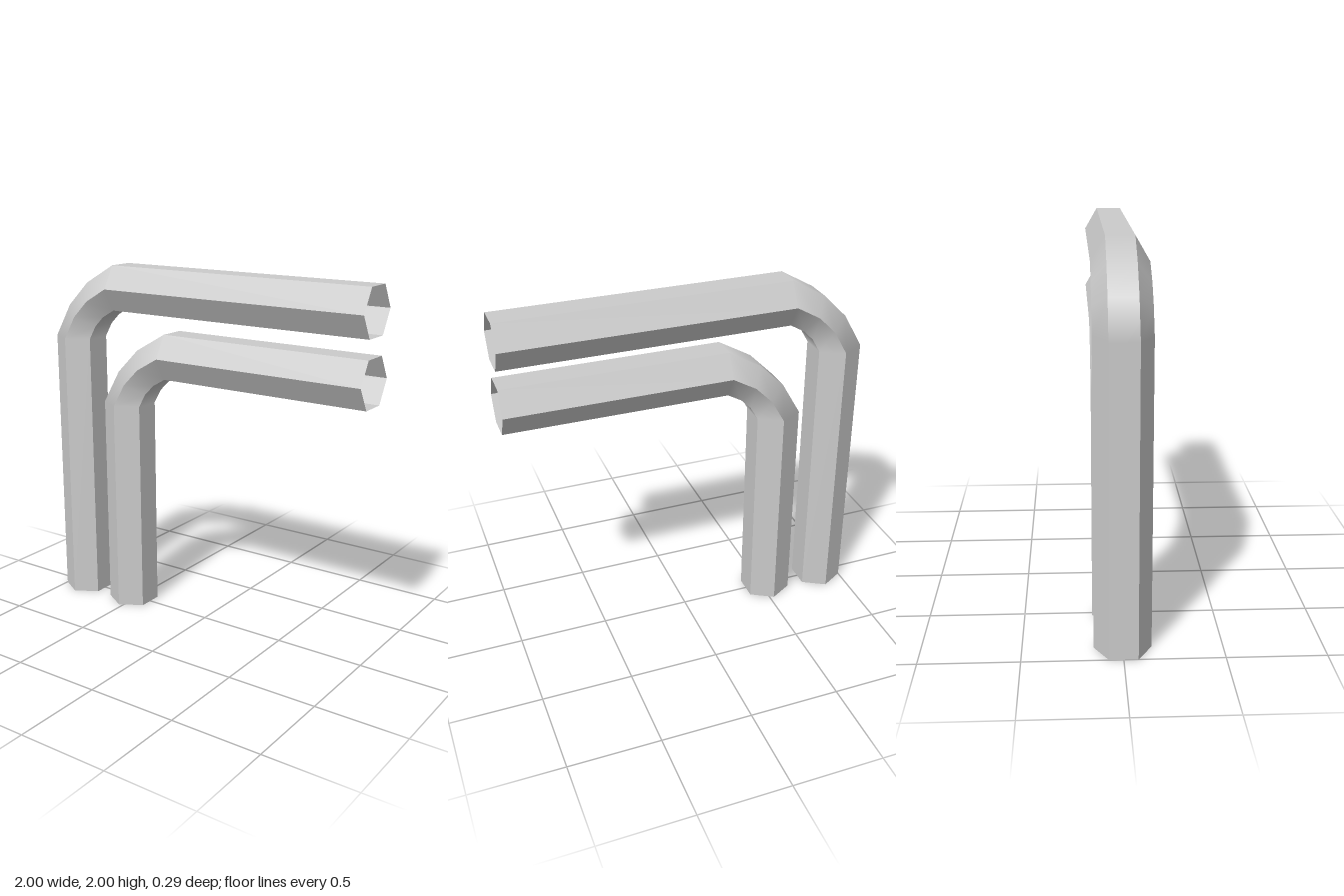
import * as THREE from 'three';

const HEX_RADIUS = 0.125 / Math.cos(Math.PI / 6);
const BEND_RADIUS = 0.305;
const SIDES = 6;
const BEND_STEPS = 3;

// Open hexagonal tube: a vertical leg, a quarter bend around (cx, cy), a horizontal arm.
function bentHexTube(cx, cy, armEnd) {
  const rings = [{ theta: 0, scale: 1, x: cx, y: 0 }];
  for (let i = 0; i <= BEND_STEPS; i++) {
    const inner = i > 0 && i < BEND_STEPS;
    rings.push({ theta: (i / BEND_STEPS) * Math.PI / 2, scale: inner ? 0.866 : 1, x: cx, y: cy });
  }
  rings.push({ theta: Math.PI / 2, scale: 1, x: armEnd, y: cy });

  const positions = [], normals = [], indices = [];
  // One strip per side: sharp between sides, smooth along the bend
  for (let k = 0; k < SIDES; k++) {
    const base = positions.length / 3;
    const mid = ((k + 0.5) / SIDES) * Math.PI * 2;
    rings.forEach(({ theta, scale, x, y }, i) => {
      const dx = -Math.cos(theta), dy = Math.sin(theta);
      for (const corner of [k, k + 1]) {
        const phi = (corner / SIDES) * Math.PI * 2;
        const r = scale * (BEND_RADIUS + HEX_RADIUS * Math.sin(phi));
        positions.push(x + dx * r, y + dy * r, HEX_RADIUS * Math.cos(phi));
        normals.push(dx * Math.sin(mid), dy * Math.sin(mid), Math.cos(mid));
      }
      if (i > 0) {
        const a = base + (i - 1) * 2;
        indices.push(a, a + 2, a + 1, a + 1, a + 2, a + 3);
      }
    });
  }

  const geometry = new THREE.BufferGeometry();
  geometry.setAttribute('position', new THREE.Float32BufferAttribute(positions, 3));
  geometry.setAttribute('normal', new THREE.Float32BufferAttribute(normals, 3));
  geometry.setIndex(indices);
  return geometry;
}

export function createModel() {
  const group = new THREE.Group();
  group.name = 'bentPipes';
  const material = new THREE.MeshStandardMaterial({ color: 0xcccccc, side: THREE.DoubleSide });

  // Two nested pipes, the inner one shifted diagonally
  for (const [name, shift] of [['outerPipe', 0], ['innerPipe', 0.35]]) {
    const pipe = new THREE.Mesh(bentHexTube(-0.57 + shift, 1.57 - shift, 1), material);
    pipe.name = name;
    group.add(pipe);
  }
  return group;
}
